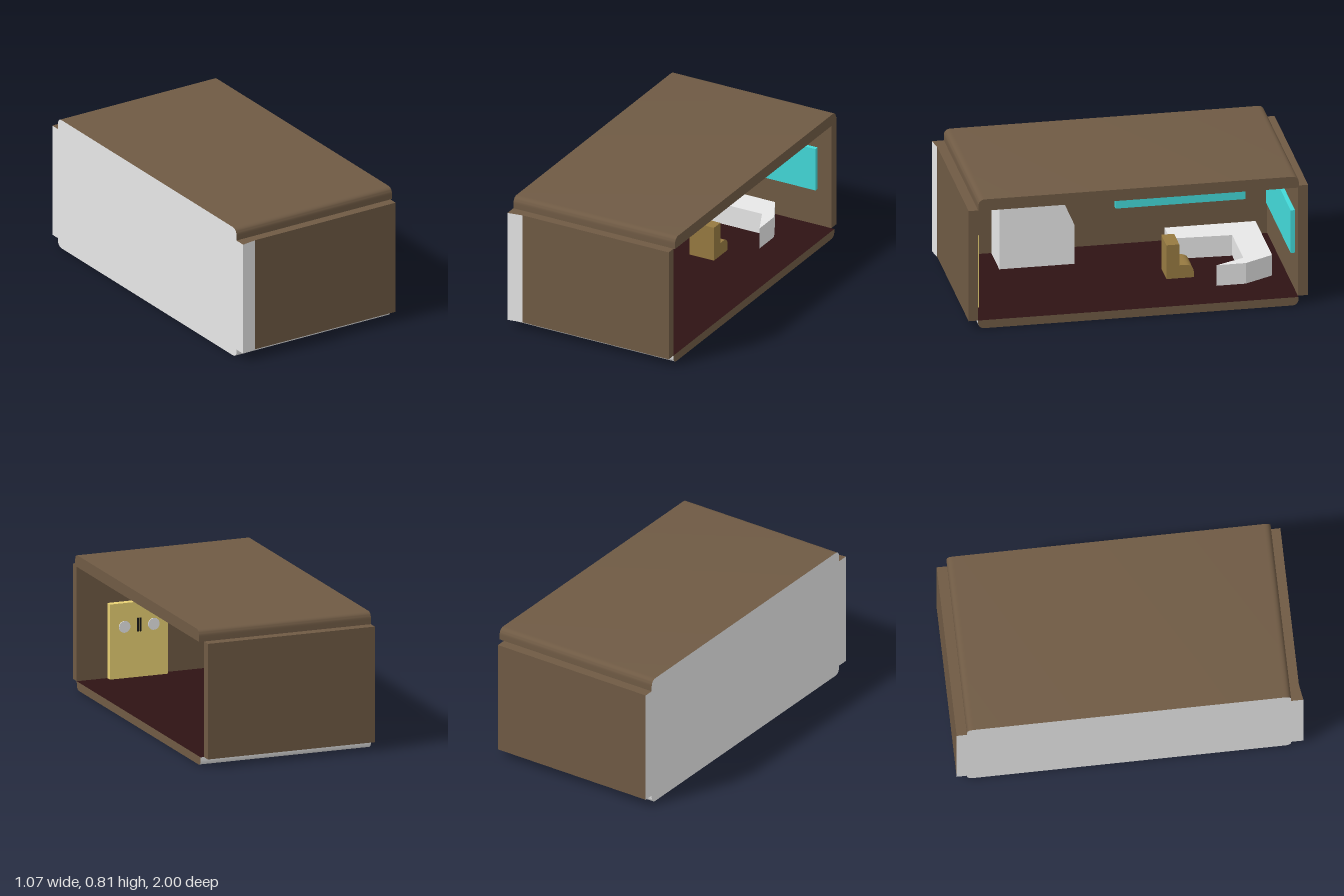
import * as THREE from 'three';
import { toCreasedNormals } from 'three/addons/utils/BufferGeometryUtils.js';

const mat = (name, color) => Object.assign(new THREE.MeshStandardMaterial({ color }), { name });

export function createModel() {
  const brown = mat('wall brown', 0x6f5a44);
  const white = mat('plain white', 0xffffff);
  const maroon = mat('floor maroon', 0x2e1314);
  const teal = mat('screen teal', 0x43d9d9);
  const yellow = mat('door yellow', 0xffe680);
  const olive = mat('chair olive', 0x977a41);
  const black = mat('handle black', 0x151515);

  const model = new THREE.Group();
  model.name = 'room';

  function add(name, geometry, material) {
    const mesh = new THREE.Mesh(geometry, material);
    mesh.name = name;
    model.add(mesh);
    return mesh;
  }

  // Box given by its limits on each axis
  function box(name, material, [x0, x1], [y0, y1], [z0, z1]) {
    const g = new THREE.BoxGeometry(x1 - x0, y1 - y0, z1 - z0);
    g.translate((x0 + x1) / 2, (y0 + y1) / 2, (z0 + z1) / 2);
    return add(name, g, material);
  }

  // Extrude a side profile (drawn in -z, y) along x
  function alongX(shape, x0, x1) {
    const g = new THREE.ExtrudeGeometry(shape, { depth: x1 - x0, bevelEnabled: false, curveSegments: 8 });
    g.rotateY(Math.PI / 2).translate(x0, 0, 0);
    return toCreasedNormals(g, 0.5);
  }

  // Extrude a floor plan of [x, z] points upward
  function upward(plan, y0, y1) {
    const shape = new THREE.Shape(plan.map(([x, z]) => new THREE.Vector2(x, -z)));
    const g = new THREE.ExtrudeGeometry(shape, { depth: y1 - y0, bevelEnabled: false });
    return g.rotateX(-Math.PI / 2).translate(0, y0, 0);
  }

  // Choose a material for every triangle from its face normal
  function paint(geometry, rule) {
    const g = geometry.index ? geometry.toNonIndexed() : geometry;
    const p = g.attributes.position;
    const [a, b, c] = [0, 1, 2].map(() => new THREE.Vector3());
    const n = new THREE.Vector3();
    g.clearGroups();
    for (let i = 0; i < p.count; i += 3) {
      [a, b, c].forEach((v, k) => v.fromBufferAttribute(p, i + k));
      new THREE.Triangle(a, b, c).getNormal(n);
      g.addGroup(i, 3, rule(n));
    }
    return g;
  }

  // Slab profile with two rounded corners on its outer side
  function slabProfile(flatY, outerY, r) {
    const s = new THREE.Shape();
    const d = Math.sign(outerY - flatY) * r;
    s.moveTo(-0.93, flatY);
    s.lineTo(-0.93, outerY - d);
    s.quadraticCurveTo(-0.93, outerY, -0.93 + r, outerY);
    s.lineTo(0.94 - r, outerY);
    s.quadraticCurveTo(0.94, outerY, 0.94, outerY - d);
    s.lineTo(0.94, flatY);
    s.closePath();
    return s;
  }

  // Roof and floor slabs
  add('roof', paint(alongX(slabProfile(0.735, 0.805, 0.04), -0.535, 0.53),
    n => (n.y < -0.9 || n.x < -0.9 ? 1 : 0)), [brown, white]);
  add('floor', paint(alongX(slabProfile(0.05, 0, 0.04), -0.535, 0.52),
    n => (n.y > 0.9 ? 2 : n.x > 0.9 ? 0 : 1)), [brown, white, maroon]);

  // Walls; the +x side stays open
  const wallY = [0.05, 0.735];
  box('frontWall', brown, [-0.445, 0.52], wallY, [0.93, 0.985]);
  box('backWall', brown, [-0.445, 0.5], wallY, [-1, -0.94]);
  add('sideWall', paint(upward([[-0.535, 1], [-0.535, -1], [-0.445, -1], [-0.445, 0.986]], ...wallY),
    n => (n.x < -0.9 || n.z > 0.9 ? 1 : 0)), [brown, white]);

  // Screens on the side and back walls
  box('sideScreen', teal, [-0.445, -0.42], [0.28, 0.545], [-0.81, -0.05]);
  box('backScreen', teal, [-0.35, 0.41], [0.28, 0.545], [-0.94, -0.915]);

  // Double door with round windows and handles
  for (const side of [-1, 1]) {
    const cx = 0.15 + side * 0.0905;
    box('doorLeaf', yellow, [cx - 0.0895, cx + 0.0895], [0.05, 0.495], [0.89, 0.93]);
    const disc = new THREE.CylinderGeometry(0.035, 0.035, 0.006, 24);
    disc.rotateX(Math.PI / 2).translate(cx, 0.355, 0.888);
    add('doorWindow', disc, white);
    const hx = 0.15 + side * 0.008;
    box('doorHandle', black, [hx - 0.004, hx + 0.004], [0.32, 0.4], [0.883, 0.89]);
  }

  // Cabinet with a sloped front against the side wall
  const cabinet = [[0.67, 0.05], [0.67, 0.59], [0.36, 0.59], [0.23, 0.29], [0.23, 0.05]];
  add('cabinet', alongX(new THREE.Shape(cabinet.map(([z, y]) => new THREE.Vector2(-z, y))), -0.445, -0.2), white);

  // Wrap-around desk with a long wing and a short angled wing
  add('desk', upward([
    [-0.33, -0.32], [-0.33, -0.85], [0.18, -0.85], [0.27, -0.68],
    [0.27, -0.51], [0.19, -0.68], [-0.15, -0.68], [-0.165, -0.32],
  ], 0.05, 0.178), white);

  // Chair facing the desk
  const chair = new THREE.Shape();
  chair.moveTo(0.245, 0.05);
  chair.lineTo(0.405, 0.05);
  chair.lineTo(0.405, 0.085);
  chair.quadraticCurveTo(0.4, 0.13, 0.355, 0.13);
  chair.lineTo(0.32, 0.13);
  chair.lineTo(0.32, 0.26);
  chair.lineTo(0.245, 0.26);
  chair.closePath();
  add('chair', alongX(chair, -0.04, 0.12), olive);

  return model;
}
